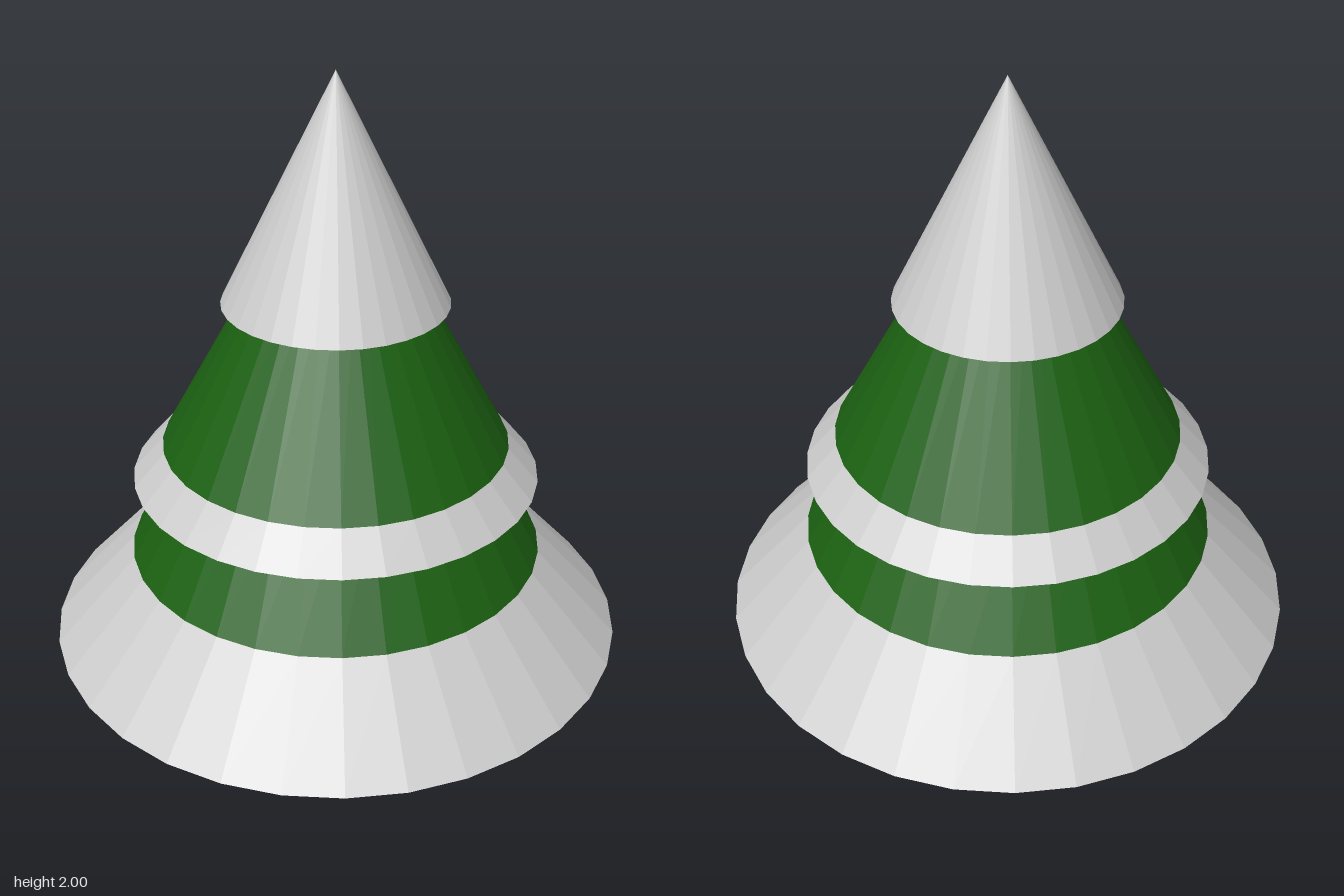
import * as THREE from 'three';

const snow = new THREE.MeshStandardMaterial({ color: 0xcccccc, flatShading: true });
const green = new THREE.MeshStandardMaterial({ color: 0x1b6011, flatShading: true });
const bark = new THREE.MeshStandardMaterial({ color: 0x3f2a17, flatShading: true });

export function createModel() {
  const tree = new THREE.Group();
  tree.name = 'snowyTree';

  const addPart = (name, material, bottom, top, rBottom, rTop, sides) => {
    const geometry = new THREE.CylinderGeometry(rTop, rBottom, top - bottom, sides);
    const part = new THREE.Mesh(geometry, material);
    part.name = name;
    part.position.y = (bottom + top) / 2;
    tree.add(part);
  };

  // Twelve-sided trunk
  addPart('trunk', bark, 0, 0.43, 0.255, 0.255, 12);

  // Nested tiers, from the ground up: snow rims flare out below the green
  addPart('lowerSnowSkirt', snow, 0.43, 0.68, 0.8, 0.571, 32);
  addPart('lowerFoliage', green, 0.68, 1.0, 0.571, 0.391, 32);
  addPart('middleSnowRim', snow, 0.905, 1.0, 0.555, 0.471, 32);
  addPart('upperFoliage', green, 1.0, 1.5, 0.471, 0.193, 32);
  addPart('snowCap', snow, 1.4, 2.0, 0.3, 0, 32);

  return tree;
}
